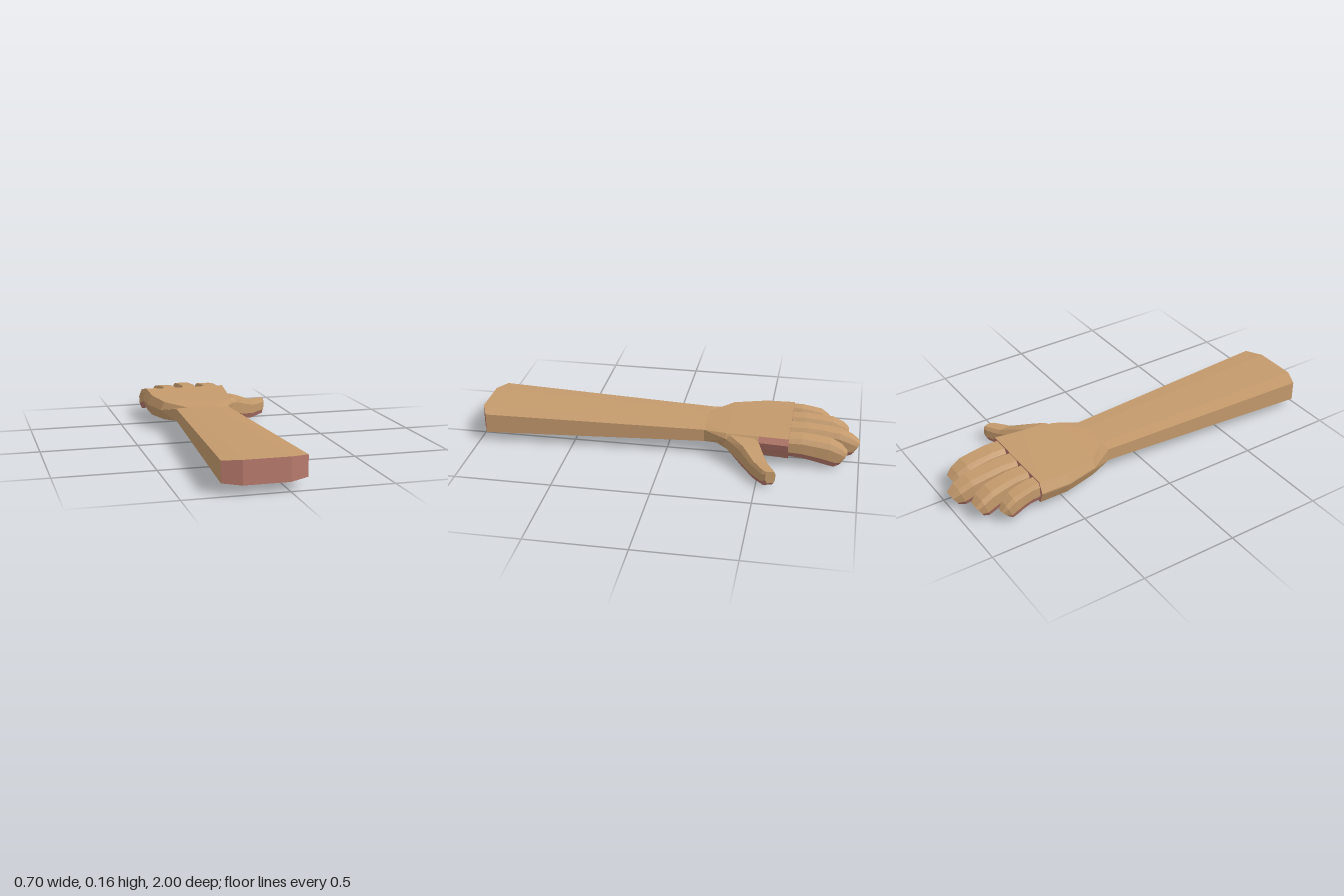
import * as THREE from 'three';

const skin = new THREE.MeshStandardMaterial({ color: 0xc49a6c, flatShading: true });
const palmSkin = new THREE.MeshStandardMaterial({ color: 0xb87a6c, flatShading: true });

// Eight-sided profiles as [across, up]: four lower points left to right, four upper points back
const fingerProfile = [[0, .28], [.16, 0], [.84, 0], [1, .28], [1, .78], [.86, 1], [.14, 1], [0, .78]];
const armProfile = [[0, .05], [.22, 0], [.77, 0], [1, .05], [1, .94], [.77, 1], [.22, 1], [0, .94]];
const palmProfile = [[0, .5], [.05, 0], [.92, 0], [.97, .4], [1, .75], [.96, 1], [.05, 1], [0, .56]];

// A cross-section from its left and right [x, z], bottom and top heights;
// lean shifts the lower side along z
function section(profile, [lx, lz], [rx, rz], bottom, top, lean = 0) {
  return profile.map(([u, v]) => new THREE.Vector3(
    lx + (rx - lx) * u, bottom + (top - bottom) * v, lz + (rz - lz) * u + lean * (1 - v)));
}

// Joins cross-sections into a closed body, split by skin tone.
// isPalm(i, j) picks the tone of side j on span i; i is 'start' or 'end' for the caps.
function loft(name, rings, isPalm) {
  const tones = [[], []];
  const quad = (palm, a, b, c, d) => tones[palm ? 1 : 0].push(a, b, c, a, c, d);
  for (let i = 0; i < rings.length - 1; i++) {
    for (let j = 0; j < 8; j++) {
      const k = (j + 1) % 8;
      quad(isPalm(i, j), rings[i][j], rings[i + 1][j], rings[i + 1][k], rings[i][k]);
    }
  }
  const first = rings[0], last = rings[rings.length - 1];
  for (let j = 0; j < 3; j++) {
    quad(isPalm('start', j), first[j], first[j + 1], first[6 - j], first[7 - j]);
    quad(isPalm('end', j), last[7 - j], last[6 - j], last[j + 1], last[j]);
  }
  const part = new THREE.Group();
  part.name = name;
  tones.forEach((points, t) => {
    if (!points.length) return;
    const geometry = new THREE.BufferGeometry().setFromPoints(points);
    geometry.computeVertexNormals();
    const mesh = new THREE.Mesh(geometry, t ? palmSkin : skin);
    mesh.name = name + (t ? 'Reddish' : 'Skin');
    part.add(mesh);
  });
  return part;
}

const underside = (i, j) => typeof i === 'number' && j < 3;

// Palm tone: knuckle end, underside, and the side patch between thumb and index finger
function palmTone(i, j) {
  if (i === 'start') return false;
  if (i === 'end' || j === 1) return true;
  return i === 2 && j >= 2 && j <= 4;
}

// Finger curling down toward its tip; root and tip give the left and right x
function finger(name, root, tip, tipZ, drop) {
  const start = -.62, length = tipZ - start;
  // [distance along, bottom, top, lean, inset]
  const steps = [
    [0, .06, .16, 0, 0],
    [.28, .053, .162, 0, 0],
    [.52, .038, .153, .01, 0],
    [.73, .024, .143, .025, 0],
    [.9, .012, .115, .035, .005],
    [1, .02, .085, .04, .018],
  ];
  const rings = steps.map(([t, bottom, top, lean, inset]) => {
    const z = start + length * t, s = t * t;
    const left = THREE.MathUtils.lerp(root[0], tip[0], s) + inset;
    const right = THREE.MathUtils.lerp(root[1], tip[1], s) - inset;
    return section(fingerProfile, [left, z], [right, z], bottom + drop * t, top - drop * t * .5, lean);
  });
  return loft(name, rings, underside);
}

export function createModel() {
  const model = new THREE.Group();
  model.name = 'forearmAndHand';

  // Forearm, with a blunt bevelled cut end
  const cut = section(armProfile, [-.31, .96], [.095, .96], .047, .163);
  [1, 2, 5, 6].forEach(j => { cut[j].z = 1; });
  const wrist = section(armProfile, [-.25, -.2], [.035, -.2], .07, .143);
  model.add(loft('forearm', [cut, wrist], i => i === 'start'));

  // Palm, widening from the wrist to the knuckles
  const palm = [
    wrist,
    section(palmProfile, [-.31, -.32], [.1, -.32], .057, .154),
    section(palmProfile, [-.35, -.49], [.122, -.49], .05, .161),
    section(palmProfile, [-.348, -.642], [.14, -.642], .048, .166),
  ];
  model.add(loft('palm', palm, palmTone));

  // Four fingers
  model.add(finger('littleFinger', [-.328, -.25], [-.345, -.272], -.85, .014));
  model.add(finger('ringFinger', [-.228, -.137], [-.26, -.158], -.94, 0));
  model.add(finger('middleFinger', [-.116, -.018], [-.118, -.022], -1, 0));
  model.add(finger('indexFinger', [.003, .11], [.003, .1], -.94, 0));

  // Thumb, pointing out and forward: inner edge, outer edge, bottom, top
  const thumb = [
    [[.03, -.47], [.07, -.3], .06, .15],
    [[.12, -.495], [.115, -.335], .045, .15],
    [[.165, -.515], [.17, -.4], .012, .134],
    [[.25, -.557], [.255, -.467], .002, .098],
    [[.315, -.593], [.335, -.528], .012, .094],
    [[.332, -.598], [.346, -.55], .03, .093],
  ].map(s => section(fingerProfile, ...s));
  model.add(loft('thumb', thumb, underside));

  return model;
}
